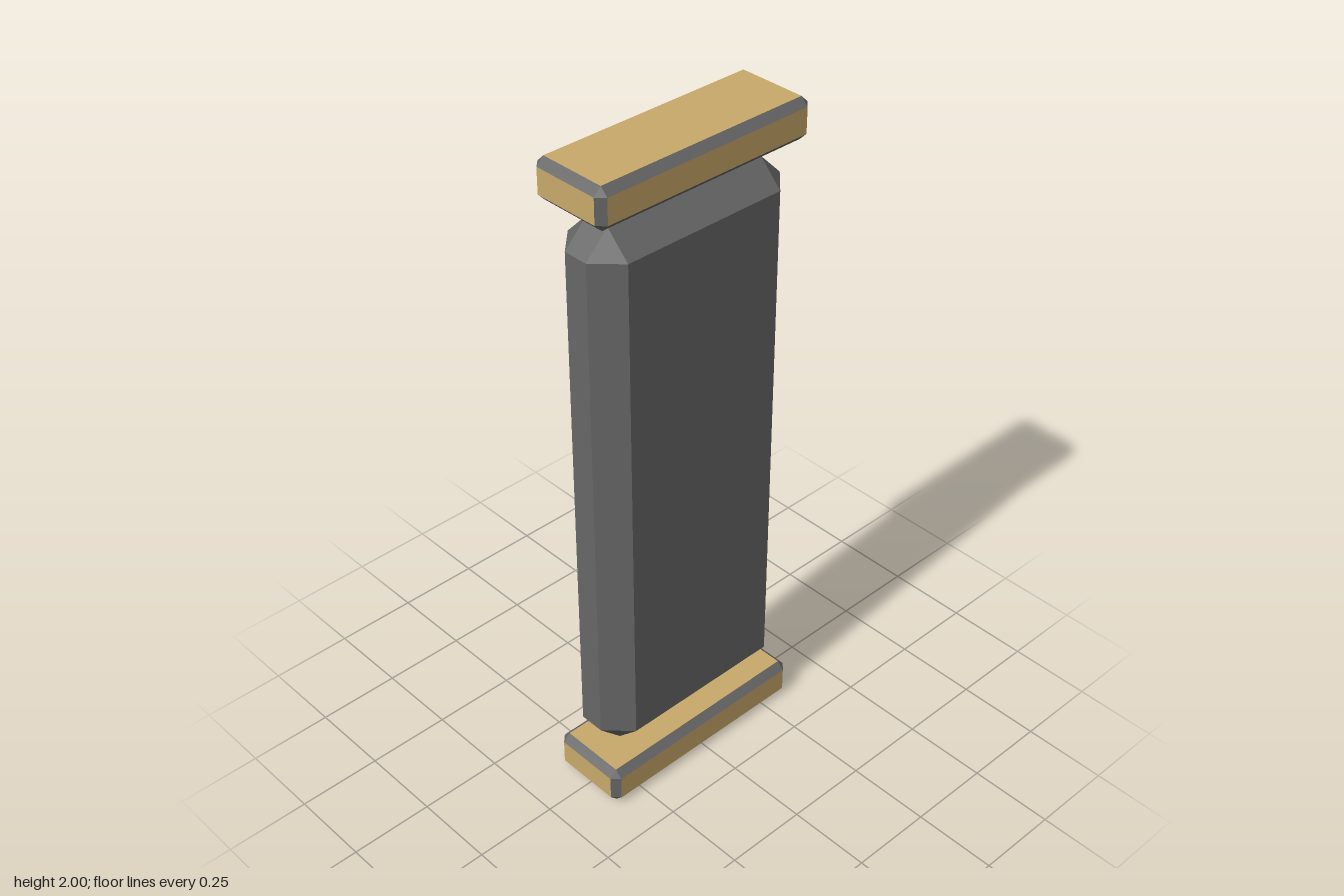
import * as THREE from 'three';

const gold = new THREE.MeshStandardMaterial({ color: 0xc8a96a });
gold.name = 'gold';
const grey = new THREE.MeshStandardMaterial({ color: 0x686767 });
grey.name = 'dark grey';
const teal = new THREE.MeshStandardMaterial({ color: 0x7fc8b4 });
teal.name = 'teal';

// Chamfered box: group 0 holds the six flat faces, group 1 the bevels and corners
function chamferBox(w, h, d, bevel) {
  const half = [w / 2, h / 2, d / 2];
  const positions = [];
  // Corner point lying on the flat face of the given axis
  const point = (axis, signs) => new THREE.Vector3(
    ...half.map((v, i) => signs[i] * (i === axis ? v : v - bevel)));
  // Convex polygon as a fan, wound to face away from the centre
  const addPolygon = (pts) => {
    const normal = pts[1].clone().sub(pts[0]).cross(pts[2].clone().sub(pts[0]));
    const centre = pts.reduce((sum, p) => sum.add(p), new THREE.Vector3());
    if (normal.dot(centre) < 0) pts.reverse();
    for (let i = 1; i < pts.length - 1; i++) {
      for (const p of [pts[0], pts[i], pts[i + 1]]) positions.push(p.x, p.y, p.z);
    }
  };
  const signsFor = (a, sa, b, sb, c, sc) => {
    const s = [];
    s[a] = sa; s[b] = sb; s[c] = sc;
    return s;
  };

  // Flat faces
  for (let a = 0; a < 3; a++) {
    const b = (a + 1) % 3, c = (a + 2) % 3;
    for (const s of [-1, 1]) {
      addPolygon([[-1, -1], [1, -1], [1, 1], [-1, 1]].map(
        ([u, v]) => point(a, signsFor(a, s, b, u, c, v))));
    }
  }
  const flatCount = positions.length / 3;

  // Edge bevels
  for (let a = 0; a < 3; a++) {
    const b = (a + 1) % 3, c = (a + 2) % 3;
    for (const u of [-1, 1]) for (const v of [-1, 1]) {
      const lo = signsFor(a, -1, b, u, c, v), hi = signsFor(a, 1, b, u, c, v);
      addPolygon([point(b, lo), point(b, hi), point(c, hi), point(c, lo)]);
    }
  }
  // Corner triangles
  for (const x of [-1, 1]) for (const y of [-1, 1]) for (const z of [-1, 1]) {
    addPolygon([0, 1, 2].map((axis) => point(axis, [x, y, z])));
  }

  const geometry = new THREE.BufferGeometry();
  geometry.setAttribute('position', new THREE.Float32BufferAttribute(positions, 3));
  geometry.addGroup(0, flatCount, 0);
  geometry.addGroup(flatCount, positions.length / 3 - flatCount, 1);
  geometry.computeVertexNormals();
  return geometry;
}

export function createModel() {
  const model = new THREE.Group();
  model.name = 'pillar';
  const add = (name, size, bevel, position, materials) => {
    const mesh = new THREE.Mesh(chamferBox(...size, bevel), materials);
    mesh.name = name;
    mesh.position.set(...position);
    model.add(mesh);
  };

  // Central slab
  add('body', [0.218, 1.68, 0.657], 0.071, [0, 0.997, 0.003], [grey, grey]);

  // Matching floating plates above and below
  for (const [name, y] of [['baseCap', 0.059], ['topCap', 1.941]]) {
    add(name, [0.246, 0.118, 0.704], 0.022, [0, y, 0.003], [gold, grey]);
  }

  // Slim light strip floating behind the slab
  add('lightStrip', [0.028, 0.366, 0.013], 0.003, [0, 0.994, -0.3485], [teal, teal]);

  return model;
}
